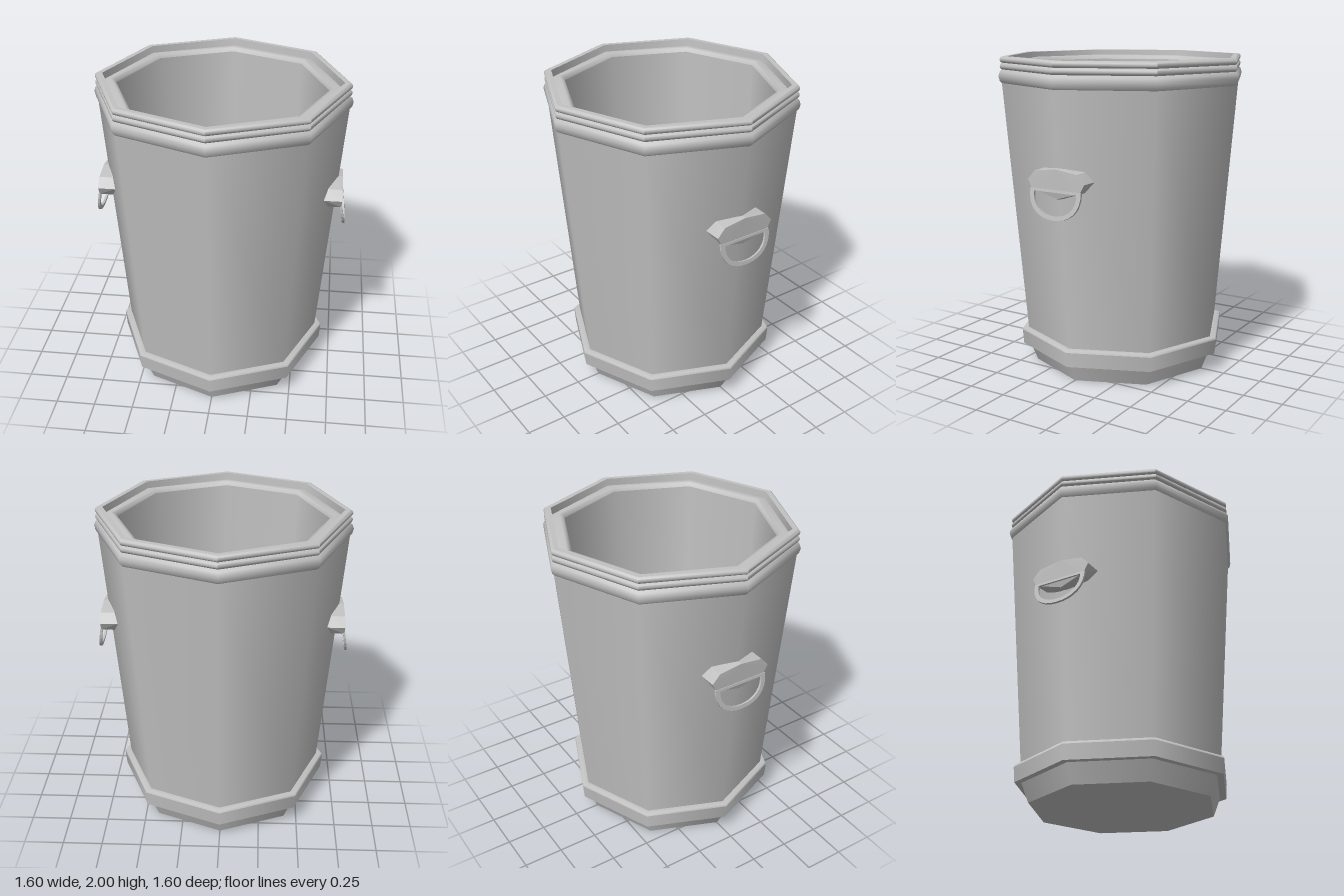
import * as THREE from 'three';
import { toCreasedNormals } from 'three/addons/utils/BufferGeometryUtils.js';
import { ConvexGeometry } from 'three/addons/geometries/ConvexGeometry.js';

const SIDES = 8;

export function createModel() {
  const model = new THREE.Group();
  model.name = 'bin';
  const metal = new THREE.MeshStandardMaterial({ color: 0xc2c2c2 });
  metal.name = 'grey metal';

  // Octagonal shell turned from a profile of [radius, height] points
  function shell(name, profile, sharpCorners = false) {
    let geo = new THREE.LatheGeometry(profile.map(([r, y]) => new THREE.Vector2(r, y)), SIDES);
    if (sharpCorners) geo = toCreasedNormals(geo, 0.7);
    const mesh = new THREE.Mesh(geo, metal);
    mesh.name = name;
    model.add(mesh);
  }

  // Rounded bead profile bulging outward between two heights
  function bead(inner, outer, y0, y1) {
    const pts = [];
    for (let i = 0; i <= 6; i++) {
      const a = -Math.PI / 2 + (i / 6) * Math.PI;
      pts.push([inner + (outer - inner) * Math.cos(a), (y0 + y1) / 2 + ((y1 - y0) / 2) * Math.sin(a)]);
    }
    return pts;
  }

  // Foot and base band
  shell('footUnderside', [[0, 0], [0.59, 0]]);
  shell('foot', [[0.59, 0], [0.637, 0.12]]);
  shell('baseBandUnderside', [[0.637, 0.12], [0.68, 0.12]]);
  shell('baseBand', [[0.68, 0.12], [0.688, 0.215]]);
  shell('baseBandTop', [[0.688, 0.215], [0.682, 0.23], [0.645, 0.23]]);

  // Tapered outer wall
  shell('outerWall', [[0.646, 0.23], [0.78, 1.84]]);

  // Collar and two rim beads
  shell('collar', [[0.779, 1.835], [0.793, 1.85], [0.8, 1.88], [0.792, 1.905], [0.775, 1.92]]);
  shell('lowerRimBead', bead(0.772, 0.79, 1.918, 1.96), true);
  shell('upperRimBead', bead(0.772, 0.79, 1.96, 2), true);

  // Rim top, step inside it and hollow interior
  shell('rimTop', [[0.774, 2], [0.742, 2]]);
  shell('rimInnerStep', [[0.742, 2], [0.738, 1.955]]);
  shell('innerLedge', [[0.738, 1.955], [0.69, 1.968], [0.668, 1.962], [0.657, 1.94]]);
  shell('innerWall', [[0.657, 1.94], [0.587, 0.04]]);
  shell('floor', [[0.587, 0.04], [0, 0.04]]);

  // Faceted bracket that caps the corner of the wall
  const outline = [[0.2, 1.3], [0.15, 1.355], [0.17, 1.245]];
  const corners = [[0.77, 1.375, 0], [0.71, 1.38, 0], [0.71, 1.185, 0], [0.755, 1.195, 0]];
  for (const s of [-1, 1]) {
    for (const [z, y] of outline) corners.push([0.768, y, z * s]);
    corners.push([0.657, 1.3, 0.2 * s], [0.68, 1.358, 0.15 * s], [0.685, 1.235, 0.15 * s]);
  }
  const bracketGeo = new ConvexGeometry(corners.map((p) => new THREE.Vector3(...p)));

  // Flat D-shaped pull ring, hung from its straight bar
  function dShape(w, top, bottom, Type) {
    const d = new Type();
    d.moveTo(-w, top);
    d.bezierCurveTo(-w * 1.05, bottom * 0.62, -w * 0.65, bottom, 0, bottom);
    d.bezierCurveTo(w * 0.65, bottom, w * 1.05, bottom * 0.62, w, top);
    d.closePath();
    return d;
  }
  const ringShape = dShape(0.18, 0, -0.18, THREE.Shape);
  ringShape.holes.push(dShape(0.15, -0.016, -0.155, THREE.Path));
  const ringGeo = new THREE.ExtrudeGeometry(ringShape, {
    depth: 0.014, bevelEnabled: false, curveSegments: 8,
  });
  ringGeo.rotateY(Math.PI / 2);

  // One handle on each side
  for (const [name, turn] of [['leftHandle', 0], ['rightHandle', Math.PI]]) {
    const handle = new THREE.Group();
    handle.name = name;
    const bracket = new THREE.Mesh(bracketGeo, metal);
    bracket.name = 'bracket';
    const ring = new THREE.Mesh(ringGeo, metal);
    ring.name = 'pullRing';
    ring.position.set(0.759, 1.25, 0);
    ring.rotation.z = 0.148;
    handle.add(bracket, ring);
    handle.rotation.y = turn;
    model.add(handle);
  }

  return model;
}
